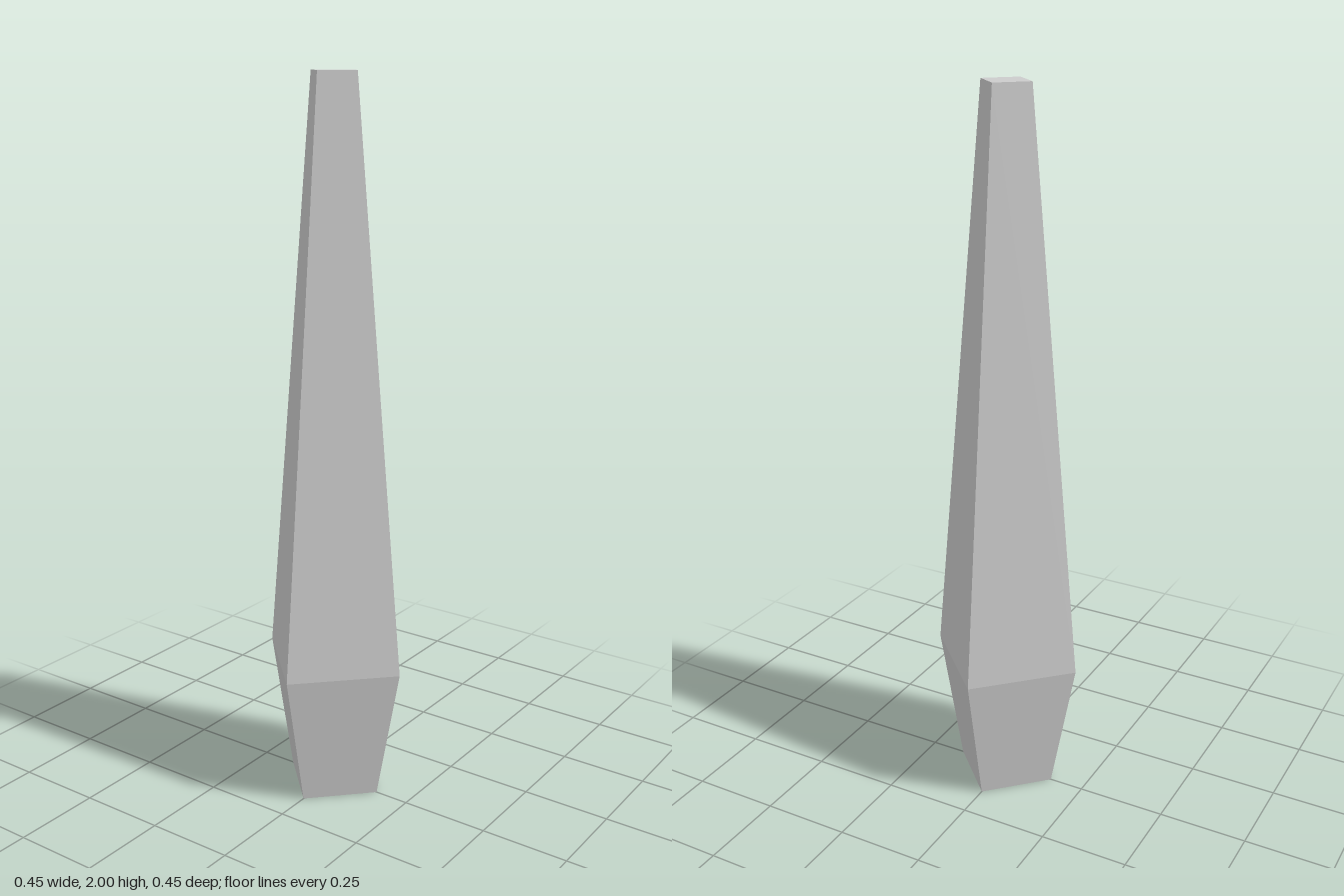
import * as THREE from 'three';

export function createModel() {
  const group = new THREE.Group();
  group.name = 'taperedPillar';

  // Half profile from the closed base, over the wide shoulder, to the flat tip
  const profile = [
    [0, 0],
    [0.15, 0],
    [0.223, 0.385],
    [0.073, 2],
    [0, 2],
  ].map(([r, y]) => new THREE.Vector2(r, y));

  // Four-sided body with its corners on the x and z axes
  const body = new THREE.Mesh(
    new THREE.LatheGeometry(profile, 4),
    new THREE.MeshStandardMaterial({ color: 0xcccccc, flatShading: true })
  );
  body.name = 'pillarBody';
  group.add(body);

  return group;
}
